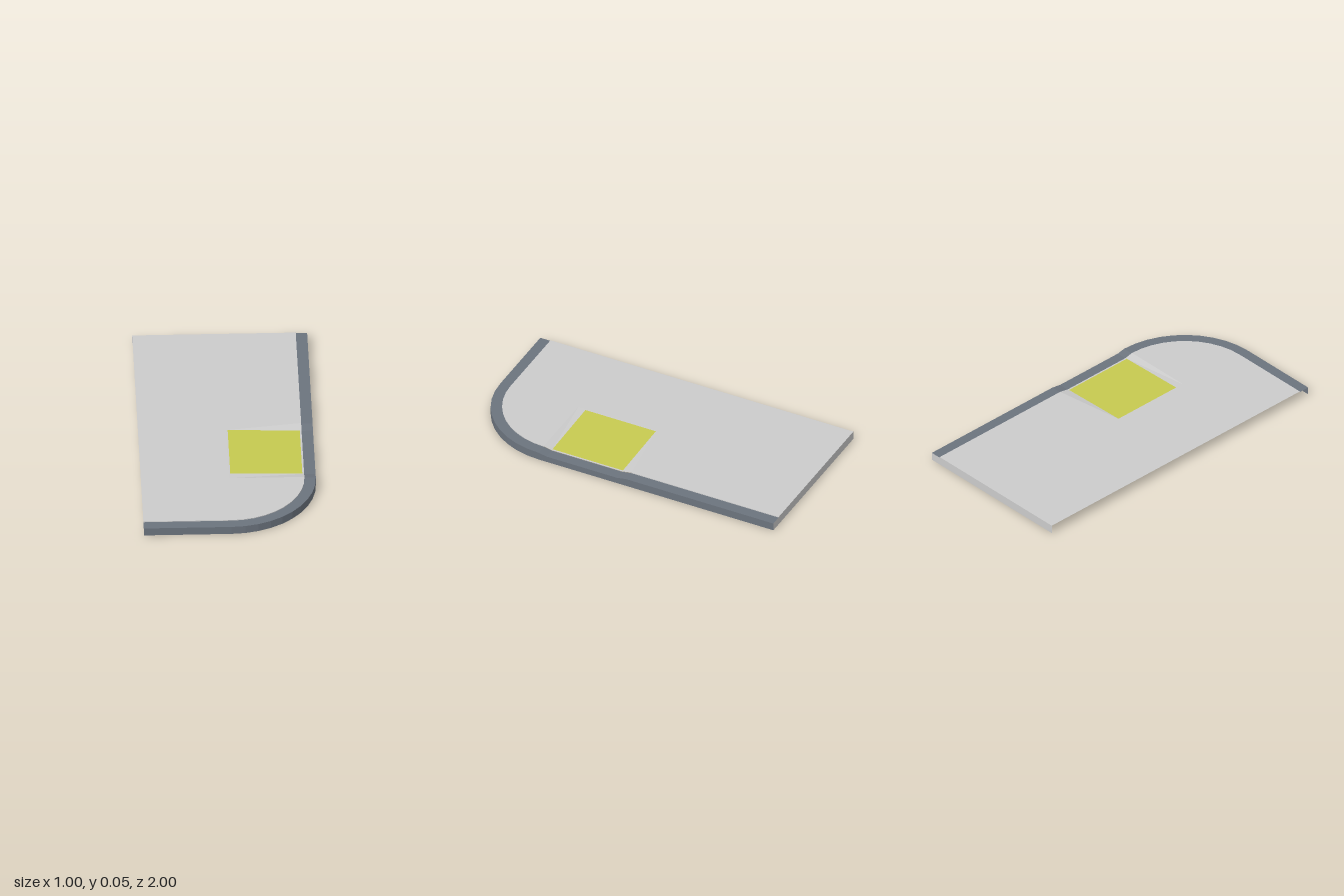
import * as THREE from 'three';
import { mergeGeometries } from 'three/addons/utils/BufferGeometryUtils.js';

const TOP = 0.051, CURB = 0.047;       // pavement and curb heights
const LOW = 0.04, CURB_LOW = 0.037;    // heights where the ramp meets the curb
const BACK = -0.06, FRONT = 0.5;       // ramp opening including flared sides
const PAD0 = 0, PAD1 = 0.45;           // flat middle of the ramp
const LEFT = -0.5, INNER = 0.43, OUTER = 0.495;

const concrete = new THREE.MeshStandardMaterial({ color: 0xcccccc, side: THREE.DoubleSide, flatShading: true });
const curbStone = new THREE.MeshStandardMaterial({ color: 0x6c747e, side: THREE.DoubleSide, flatShading: true });
const yellow = new THREE.MeshStandardMaterial({ color: 0xc6ca50, side: THREE.DoubleSide, flatShading: true });

// Strip of quads between two point rows of equal length
function ribbon(a, b) {
  const pos = [];
  for (let i = 0; i < a.length - 1; i++) {
    for (const p of [a[i], a[i + 1], b[i], b[i], a[i + 1], b[i + 1]]) pos.push(...p);
  }
  const g = new THREE.BufferGeometry();
  g.setAttribute('position', new THREE.Float32BufferAttribute(pos, 3));
  g.computeVertexNormals();
  return g;
}

function part(name, material, ...geometries) {
  const mesh = new THREE.Mesh(mergeGeometries(geometries), material);
  mesh.name = name;
  return mesh;
}

// Quarter ellipse of the street corner, from the side edge to the front edge
function corner(rx, rz, y, segments = 10) {
  return Array.from({ length: segments + 1 }, (_, i) => {
    const t = (i / segments) * Math.PI / 2;
    return [rx * Math.cos(t), y, FRONT + rz * Math.sin(t)];
  });
}

// Curb line along the side, around the corner and across the front
function curbLine(x, rz) {
  return [
    [x, CURB, -1], [x, CURB, BACK], [x, CURB_LOW, PAD0], [x, CURB_LOW, PAD1],
    ...corner(x, rz, CURB), [LEFT, CURB, FRONT + rz],
  ];
}

const atY = (row, y) => row.map(([x, , z]) => [x, y, z]);
const atX = (row, x) => row.map(([, y, z]) => [x, y, z]);

// Ramp height falls from the pavement at x = 0 to the lowered curb
const rampPoint = (x, z) => {
  const drop = z >= PAD0 && z <= PAD1 ? TOP - LOW : 0;
  return [x, TOP - drop * (x / INNER), z];
};
const rampPatch = (x0, x1, zs) => ribbon(zs.map(z => rampPoint(x0, z)), zs.map(z => rampPoint(x1, z)));

export function createModel() {
  const group = new THREE.Group();
  group.name = 'sidewalkCorner';

  // Pavement: behind the ramp, beside it, and the rounded corner
  const behind = [[INNER, TOP, -1], [INNER, TOP, BACK]];
  const beside = [[0, TOP, BACK], [0, TOP, FRONT]];
  const round = corner(INNER, 0.435, TOP);
  const frontEdge = [...round, [LEFT, TOP, FRONT + 0.435]];
  group.add(part('pavement', concrete,
    ...[behind, beside, round].map(row => ribbon(atX(row, LEFT), row)),
    ...[behind, frontEdge].map(row => ribbon(row, atY(row, CURB)))));

  // Closing wall at the back
  const backTop = [[LEFT, TOP, -1], [INNER, TOP, -1], [INNER + 0.001, CURB, -1], [OUTER, CURB, -1]];
  group.add(part('backWall', concrete, ribbon(backTop, atY(backTop, 0))));

  // Ramp flares and the narrow borders of the pad
  const p0 = 0.01, p1 = 0.42;
  group.add(part('ramp', concrete,
    rampPatch(0, INNER, [BACK, PAD0]),
    rampPatch(0, INNER, [PAD1, FRONT]),
    rampPatch(0, p0, [PAD0, PAD1]),
    rampPatch(p1, INNER, [PAD0, PAD1])));

  // Yellow warning pad
  group.add(part('warningPad', yellow, rampPatch(p0, p1, [PAD0, PAD1])));

  // Curb: top, outer wall and the infill below the rounded pavement
  const outer = curbLine(OUTER, 0.5), inner = curbLine(INNER, 0.435);
  const arc = corner(INNER, 0.435, CURB);
  const chord = arc.map((_, i) => {
    const t = i / (arc.length - 1);
    return [INNER * (1 - t), CURB, FRONT + 0.435 * t];
  });
  group.add(part('curb', curbStone,
    ribbon(inner, outer),
    ribbon(outer, atY(outer, 0)),
    ribbon(chord, arc)));

  return group;
}
